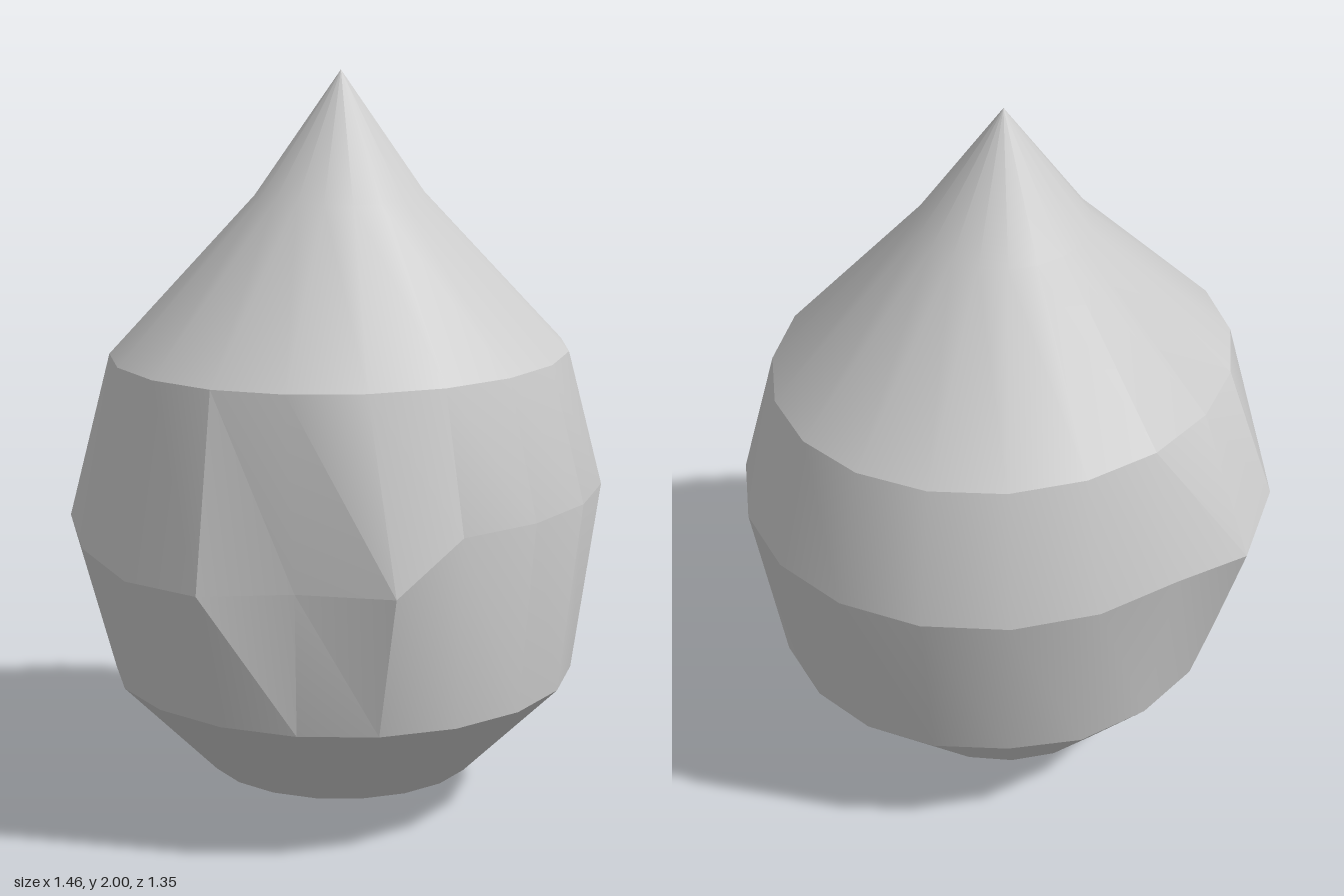
import * as THREE from 'three';
import { toCreasedNormals } from 'three/addons/utils/BufferGeometryUtils.js';

const SIDES = 19;

// One ring of the body: front and back may differ in depth
function ring(y, rx, front, back = front) {
  return Array.from({ length: SIDES }, (_, k) => {
    const a = (k / SIDES) * Math.PI * 2;
    const s = Math.sin(a);
    return [rx * Math.cos(a), y, s * (s > 0 ? front : back)];
  });
}

// Skins a stack of rings, bottom to top, into one closed surface
function skin(rings) {
  const index = [];
  for (let j = 0; j < rings.length - 1; j++) {
    for (let k = 0; k < SIDES; k++) {
      const n = (k + 1) % SIDES;
      const a = j * SIDES + k, b = j * SIDES + n;
      const c = a + SIDES, d = b + SIDES;
      if (j < rings.length - 2) index.push(a, c, d);
      if (j > 0) index.push(a, d, b);
      else continue;
      if (j === rings.length - 2) index.push();
    }
  }
  const geometry = new THREE.BufferGeometry();
  geometry.setAttribute('position', new THREE.Float32BufferAttribute(rings.flat(2), 3));
  geometry.setIndex(index);
  return toCreasedNormals(geometry, 0.4);
}

export function createModel() {
  const group = new THREE.Group();
  group.name = 'droplet';

  // Widest ring, dented and sagging on the right-hand side
  const waist = ring(0.885, 0.73, 0.675);
  const dents = [
    [-0.26, 0.755, 0.67], [-0.44, 0.75, 0.48], [-0.65, 0.745, 0.35],
    [-0.73, 0.74, 0.12], [-0.73, 0.77, -0.12], [-0.65, 0.8, -0.35],
    [-0.5, 0.885, -0.54], [-0.3, 0.85, -0.675], [-0.06, 0.885, -0.675],
  ];
  dents.forEach((p, i) => { waist[6 + i] = p; });

  // Lower ring, slightly sagging at the back
  const lower = ring(0.37, 0.635, 0.64, 0.578);
  for (let k = 12; k <= 15; k++) lower[k][1] = 0.35;

  const body = new THREE.Mesh(
    skin([
      ring(0, 0, 0), // bottom point
      ring(0.1, 0.37, 0.37),
      lower,
      waist,
      ring(1.25, 0.637, 0.578),
      ring(1.67, 0.232, 0.226),
      ring(2, 0, 0), // top point
    ]),
    new THREE.MeshStandardMaterial({ color: 0xcccccc }),
  );
  body.name = 'dropletBody';
  group.add(body);
  return group;
}
